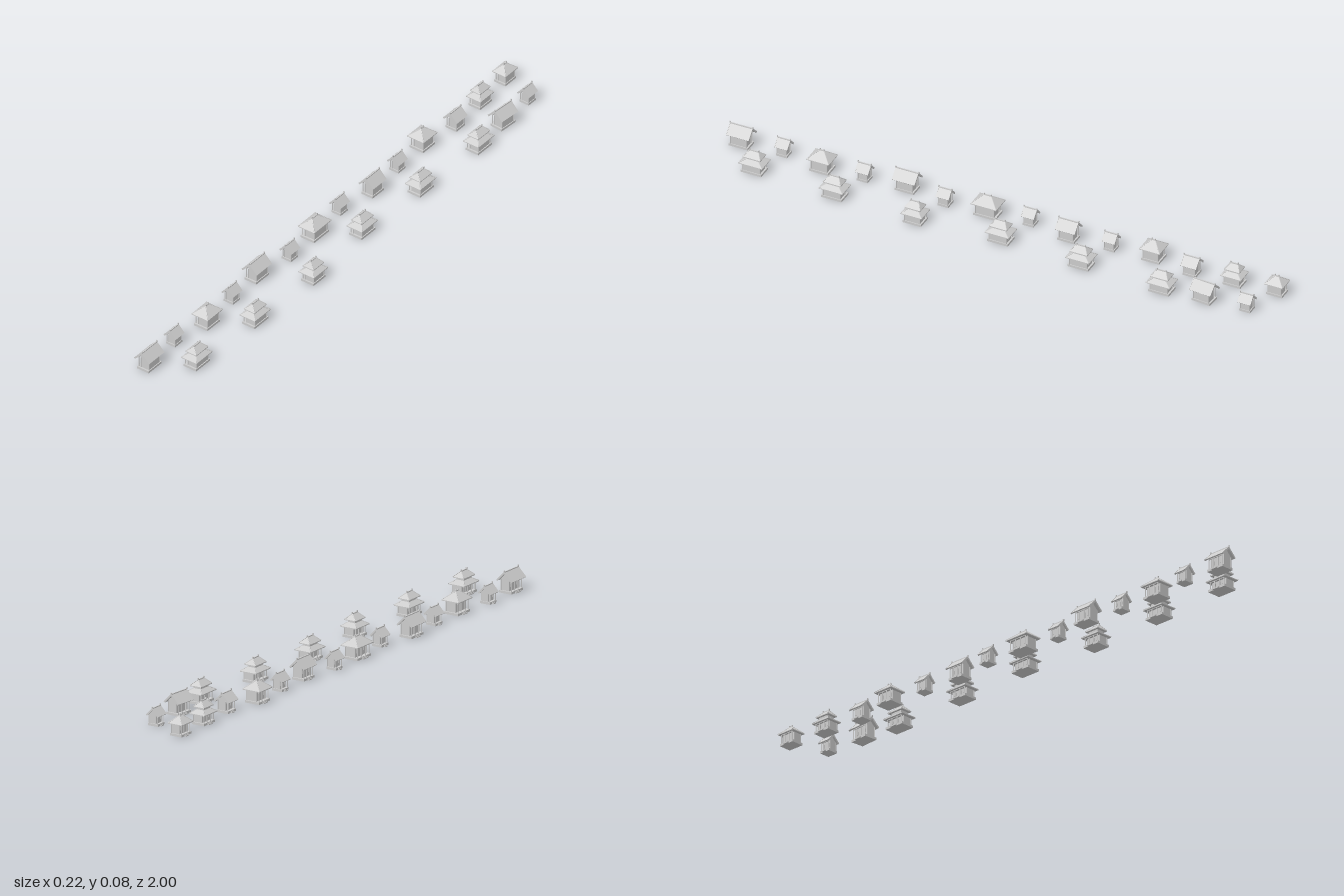
import * as THREE from 'three';

const mat = new THREE.MeshStandardMaterial({ color: 0xcccccc, flatShading: true });
const UP = new THREE.Vector3(0, 1, 0);

function add(parent, name, geo, x = 0, y = 0, z = 0) {
  const m = new THREE.Mesh(geo, mat);
  m.name = name;
  m.position.set(x, y, z);
  parent.add(m);
  return m;
}

// Box standing on y
const block = (p, name, w, h, d, x, y, z) =>
  add(p, name, new THREE.BoxGeometry(w, h, d), x, y + h / 2, z);

// Round bar between two points
function bar(p, name, a, b, r) {
  const dir = b.clone().sub(a);
  const m = add(p, name, new THREE.CylinderGeometry(r, r, dir.length(), 6));
  m.position.copy(a).add(b).multiplyScalar(0.5);
  m.quaternion.setFromUnitVectors(UP, dir.normalize());
}

// Ridge beam with upright end ornaments
function ridge(p, len, y) {
  block(p, 'ridgeBeam', 0.004, 0.004, len, 0, y - 0.002, 0);
  for (const s of [-1, 1]) block(p, 'ridgeOrnament', 0.004, 0.006, 0.003, 0, y, s * len / 2);
}

// Hipped roof: a box whose top is drawn in to topW x topD, with ribs on the hips
function hipRoof(p, name, w, d, y0, y1, topW, topD) {
  block(p, name + 'Eave', w, 0.003, d, 0, y0, 0);
  const h = y1 - y0 - 0.003;
  const geo = new THREE.BoxGeometry(w, h, d);
  const pos = geo.attributes.position;
  for (let i = 0; i < pos.count; i++) {
    if (pos.getY(i) > 0) {
      pos.setX(i, Math.sign(pos.getX(i)) * topW / 2);
      pos.setZ(i, Math.sign(pos.getZ(i)) * topD / 2);
    }
  }
  geo.computeVertexNormals();
  add(p, name, geo, 0, y0 + 0.003 + h / 2, 0);
  for (const sx of [-1, 1]) for (const sz of [-1, 1]) {
    bar(p, 'hipRib',
      new THREE.Vector3(sx * w / 2, y0 + 0.003, sz * d / 2),
      new THREE.Vector3(sx * topW / 2, y1, sz * topD / 2), 0.0014);
  }
}

// Gabled roof: two slabs, bargeboards and pentagonal end walls
function gableRoof(p, w, d, y0, y1, wallX, wallW, wallD) {
  const half = w / 2, rise = y1 - y0, t = 0.004;
  const len = Math.hypot(half, rise), ang = Math.atan2(rise, half);
  for (const s of [-1, 1]) {
    const slab = add(p, 'roofSlope', new THREE.BoxGeometry(len, t, d),
      s * half / 2, (y0 + y1) / 2 - t / 2, 0);
    slab.rotation.z = -s * ang;
    for (const e of [-1, 1]) {
      const board = add(p, 'bargeboard', new THREE.BoxGeometry(len, 0.006, 0.002),
        s * half / 2, (y0 + y1) / 2 - t / 2, e * d / 2);
      board.rotation.z = -s * ang;
    }
  }
  const roofY = x => y1 - t - Math.abs(x) * rise / half;
  const l = wallX - wallW / 2, r = wallX + wallW / 2;
  const eaveY = Math.min(roofY(l), roofY(r)) - 0.004;
  const shape = new THREE.Shape([[l, eaveY], [r, eaveY], [r, roofY(r)], [0, roofY(0)], [l, roofY(l)]]
    .map(([x, y]) => new THREE.Vector2(x, y)));
  add(p, 'gableWall', new THREE.ExtrudeGeometry(shape, { depth: wallD, bevelEnabled: false }), 0, 0, -wallD / 2);
  ridge(p, d + 0.002, y1);
}

// One house with its porch on the -x side
function house({ type, x, z, w, d, h, rot = 0 }) {
  const g = new THREE.Group();
  g.name = type + 'House';
  g.position.set(x, 0, z);
  g.rotation.y = rot;

  const baseH = 0.008, baseW = w * 0.82, baseD = d * 0.86;
  const eave = type === 'twoTier' ? 0.034 : h * 0.6;
  const wallW = w * 0.56, wallD = d * 0.72, wallX = w * 0.08;
  const wallH = eave - baseH + 0.002, front = wallX - wallW / 2;

  // Platform and steps
  block(g, 'platform', baseW, baseH, baseD, 0, 0, 0);
  block(g, 'lowerStep', 0.006, 0.003, d * 0.3, -baseW / 2 - 0.003, 0, 0);
  block(g, 'upperStep', 0.003, 0.0055, d * 0.3, -baseW / 2 - 0.0015, 0, 0);

  // Walls, door and windows
  block(g, 'walls', wallW, wallH, wallD, wallX, baseH, 0);
  block(g, 'door', 0.002, wallH * 0.75, d * 0.18, front, baseH, 0);
  for (const s of [-1, 1])
    block(g, 'window', 0.002, wallH * 0.35, d * 0.11, front, baseH + wallH * 0.35, s * d * 0.23);

  // Porch posts and corner posts
  const post = new THREE.CylinderGeometry(0.0017, 0.0017, wallH, 8);
  const posts = d > 0.06 ? [-0.36, -0.13, 0.13, 0.36] : [-0.36, 0.36];
  for (const k of posts) add(g, 'porchPost', post, -w * 0.35, baseH + wallH / 2, k * d);
  for (const s of [-1, 1]) for (const e of [-1, 1])
    add(g, 'cornerPost', post, wallX + s * wallW / 2, baseH + wallH / 2, e * wallD / 2);
  block(g, 'porchBeam', 0.003, 0.003, d * 0.76, -w * 0.35, eave - 0.002, 0);

  // Roofs
  if (type === 'gable') {
    gableRoof(g, w, d, eave, h, wallX, wallW, wallD);
  } else if (type === 'hip') {
    const top = Math.max(d - w, 0.012);
    hipRoof(g, 'roof', w, d, eave, h, 0.001, top);
    ridge(g, top, h);
  } else {
    const uw = w * 0.46, ud = d * 0.52, uy = 0.056;
    hipRoof(g, 'lowerRoof', w, d, eave, 0.049, uw, ud);
    block(g, 'upperWalls', uw, uy - 0.046, ud, 0, 0.047, 0);
    hipRoof(g, 'upperRoof', w * 0.7, d * 0.74, uy, h, 0.001, d * 0.36);
    ridge(g, d * 0.36, h);
  }
  return g;
}

export function createModel() {
  const root = new THREE.Group();
  root.name = 'village';

  // [type, roof width, roof depth, ridge height] along the -x row
  const S = ['gable', 0.046, 0.045, 0.06];
  const row = [
    ['hip', 0.055, 0.066, 0.066], ['twoTier', 0.058, 0.074, 0.077], ['gable', 0.054, 0.055, 0.065],
    ['hip', 0.067, 0.074, 0.072], S, ['gable', 0.056, 0.07, 0.072], S,
    ['hip', 0.067, 0.092, 0.072], S, ['gable', 0.058, 0.08, 0.072], S,
    ['hip', 0.066, 0.08, 0.074], S, ['gable', 0.058, 0.08, 0.073],
  ];
  const stagger = [-0.074, -0.063, -0.052];
  row.forEach(([type, w, d, h], i) =>
    root.add(house({ type, w, d, h, x: stagger[i % 3], z: -0.966 + i * 0.148 })));

  // The +x row
  root.add(house({ type: 'gable', x: 0.052, z: -0.92, w: 0.046, d: 0.045, h: 0.06 }));
  root.add(house({ type: 'gable', x: 0.064, z: -0.772, w: 0.058, d: 0.078, h: 0.072, rot: -0.08 }));
  const side = [0.077, 0.065, 0.052];
  for (let i = 0; i < 6; i++)
    root.add(house({ type: 'twoTier', x: side[i % 3], z: -0.625 + i * 0.296, w: 0.062, d: i % 3 === 0 && i ? 0.076 : 0.086, h: 0.077 }));

  return root;
}
